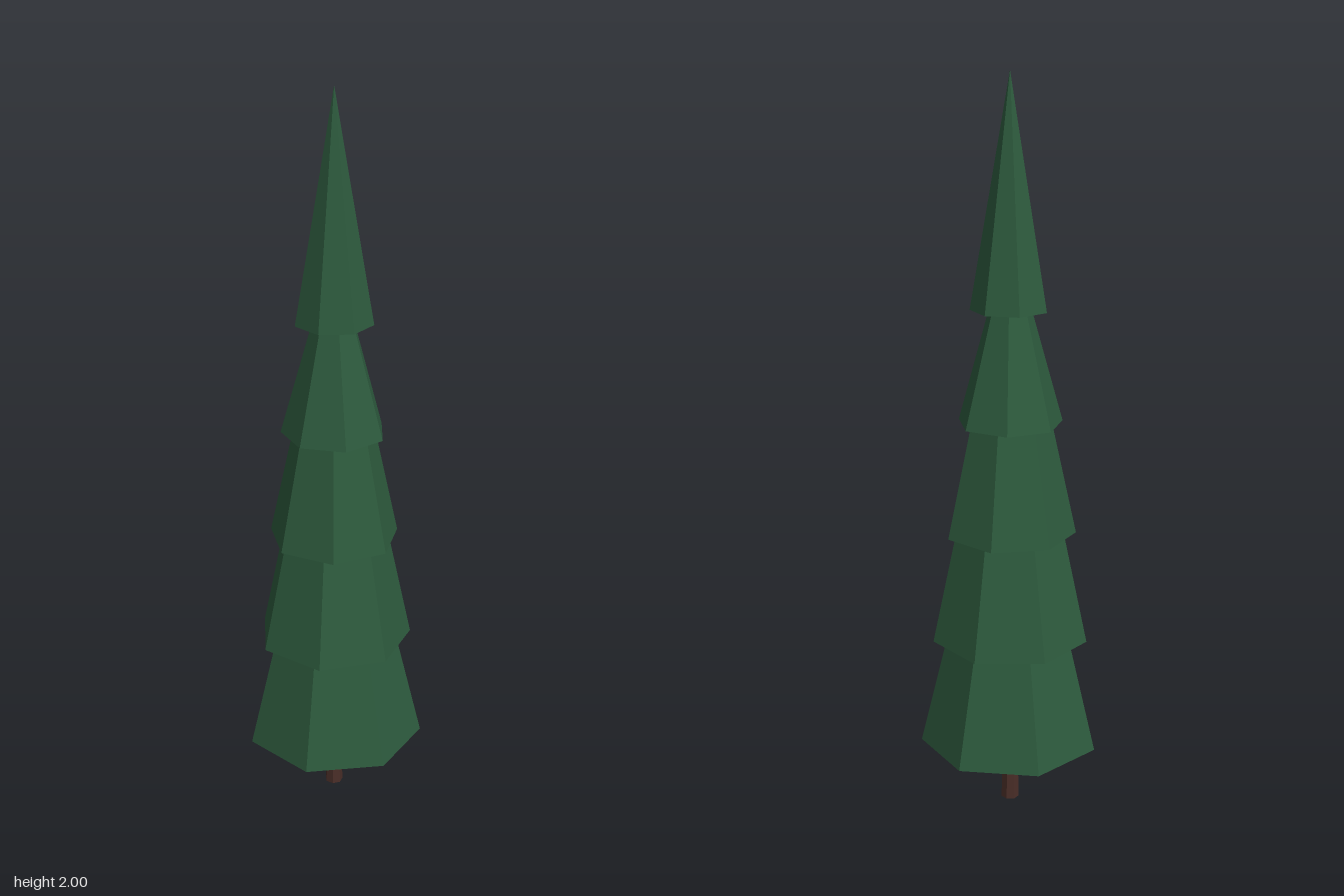
import * as THREE from 'three';

export function createModel() {
  const tree = new THREE.Group();
  tree.name = 'coniferTree';

  const needles = new THREE.MeshStandardMaterial({ color: 0x2d5a3d, flatShading: true });
  needles.name = 'needle green';
  const bark = new THREE.MeshStandardMaterial({ color: 0x4a2e28, flatShading: true });
  bark.name = 'bark brown';

  const SIDES = 7;
  // The trunk axis sits slightly behind the centre of the seven-sided skirt
  const AXIS_X = -0.002;
  const AXIS_Z = -0.012;

  function addTapered(name, material, bottomY, topY, bottomRadius, topRadius, turn) {
    const height = topY - bottomY;
    const geometry = new THREE.CylinderGeometry(topRadius, bottomRadius, height, SIDES);
    const mesh = new THREE.Mesh(geometry, material);
    mesh.name = name;
    mesh.position.set(AXIS_X, bottomY + height / 2, AXIS_Z);
    mesh.rotation.y = THREE.MathUtils.degToRad(turn);
    tree.add(mesh);
  }

  // Trunk, ending inside the lowest tier
  addTapered('trunk', bark, 0, 0.25, 0.025, 0.019, 10);

  // Foliage tiers, bottom to top: base height, top height, base radius, top radius, twist
  const tiers = [
    [0.187, 0.51, 0.247, 0.168, -0.9],
    [0.493, 0.815, 0.213, 0.144, 6.5],
    [0.795, 1.12, 0.177, 0.106, 16.4],
    [1.098, 1.42, 0.141, 0.051, 29.6],
    [1.4, 2.0, 0.104, 0, 46],
  ];
  tiers.forEach((tier, i) => addTapered(`foliageTier${i + 1}`, needles, ...tier));

  return tree;
}
